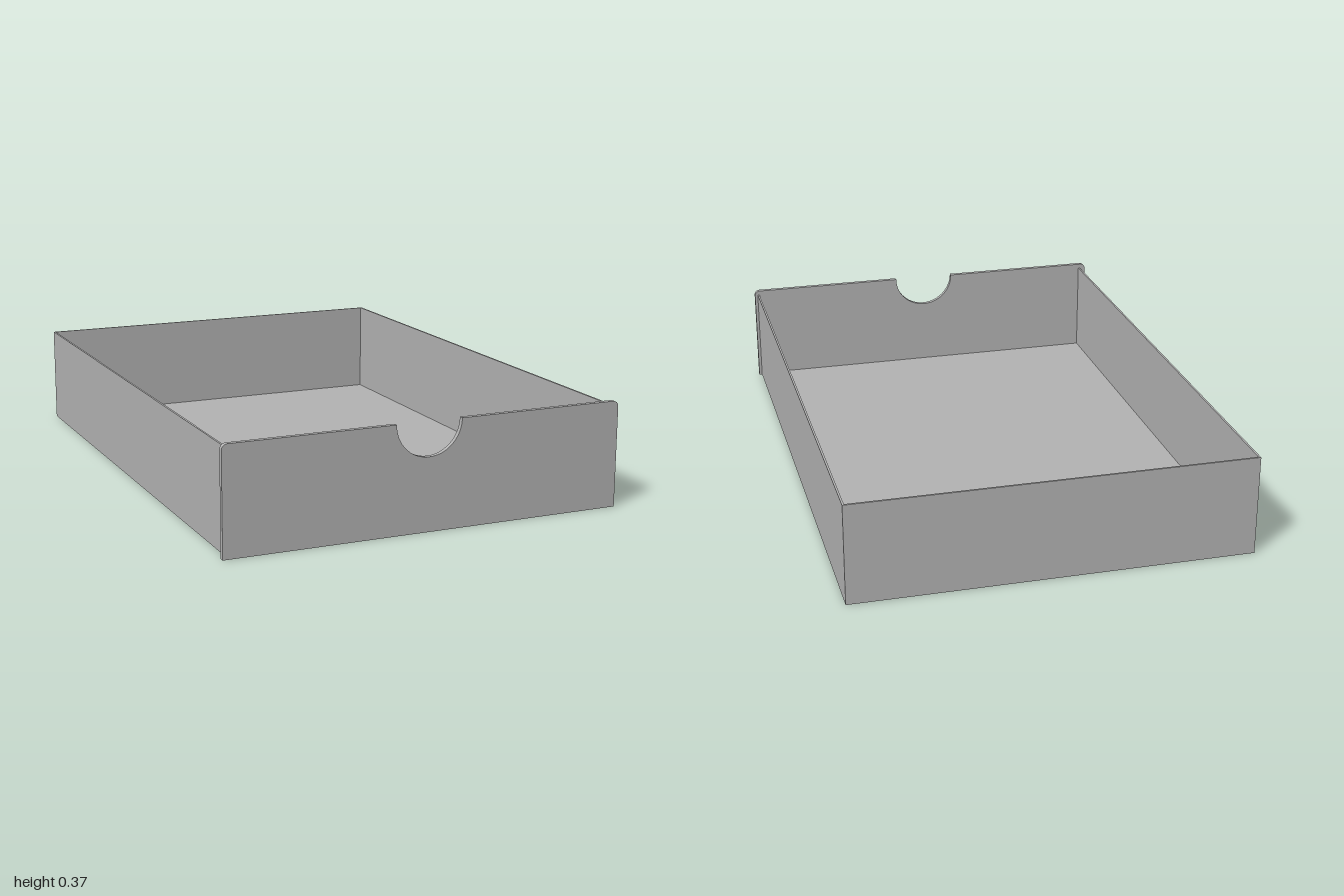
import * as THREE from 'three';

export function createModel() {
  const group = new THREE.Group();
  const grey = new THREE.MeshStandardMaterial({ color: 0xb2b2b2 });
  grey.name = 'grey';

  const left = 0.703, right = -0.692; // tray sides
  const back = -1, panelBack = 0.983, front = 1;
  const wallTop = 0.355, t = 0.007;

  // Box given by its two opposite corners
  function slab(name, x0, x1, y0, y1, z0, z1) {
    const mesh = new THREE.Mesh(new THREE.BoxGeometry(x1 - x0, y1 - y0, z1 - z0), grey);
    mesh.position.set((x0 + x1) / 2, (y0 + y1) / 2, (z0 + z1) / 2);
    mesh.name = name;
    group.add(mesh);
  }

  // Tray: floor and three thin walls
  slab('floor', right, left, 0, t, back, panelBack);
  slab('rightWall', right, right + t, t, wallTop, back, panelBack);
  slab('leftWall', left - t, left, t, wallTop, back, panelBack);
  slab('backWall', right + t, left - t, t, wallTop, back, back + t);

  // Front panel: rounded top corners and a half-round finger notch
  const w = 0.714, h = 0.372, r = 0.02, notch = 0.118;
  const shape = new THREE.Shape();
  shape.moveTo(-w, 0);
  shape.lineTo(w, 0);
  shape.lineTo(w, h - r);
  shape.absarc(w - r, h - r, r, 0, Math.PI / 2, false);
  shape.lineTo(notch, h);
  shape.absarc(0, h, notch, 0, -Math.PI, true);
  shape.lineTo(-w + r, h);
  shape.absarc(-w + r, h - r, r, Math.PI / 2, Math.PI, false);
  shape.closePath();
  const panel = new THREE.Mesh(
    new THREE.ExtrudeGeometry(shape, { depth: front - panelBack, bevelEnabled: false, curveSegments: 24 }),
    grey
  );
  panel.position.z = panelBack;
  panel.name = 'frontPanel';
  group.add(panel);

  return group;
}
